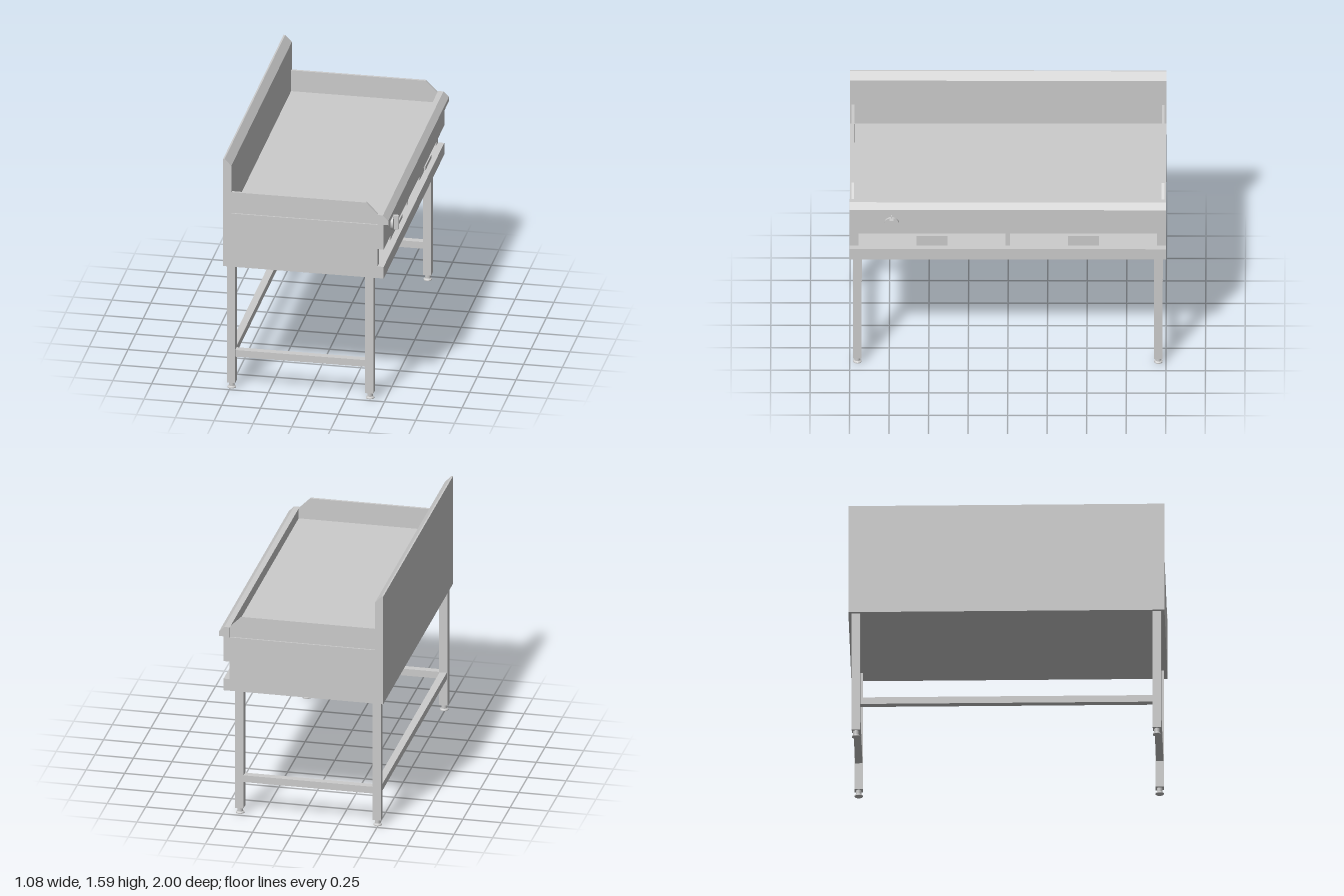
import * as THREE from 'three';

const steel = new THREE.MeshStandardMaterial({ color: 0xcccccc, flatShading: true });
const smooth = new THREE.MeshStandardMaterial({ color: 0xcccccc });

export function createModel() {
  const root = new THREE.Group();

  const add = (name, geometry, material = steel) => {
    const mesh = new THREE.Mesh(geometry, material);
    mesh.name = name;
    root.add(mesh);
    return mesh;
  };

  // Box given by its limits on each axis
  const box = (name, x0, x1, y0, y1, z0, z1) =>
    add(name, new THREE.BoxGeometry(x1 - x0, y1 - y0, z1 - z0))
      .position.set((x0 + x1) / 2, (y0 + y1) / 2, (z0 + z1) / 2);

  // Side profile (x, y) swept along z
  const sweep = (name, points, z0, z1) => {
    const shape = new THREE.Shape(points.map(([x, y]) => new THREE.Vector2(x, y)));
    const geometry = new THREE.ExtrudeGeometry(shape, { depth: z1 - z0, bevelEnabled: false });
    add(name, geometry.translate(0, 0, z0));
  };

  // Cabinet with splashback, rounded-off front nose and drawer recess
  const recessBack = -0.3;
  sweep('cabinet', [
    [-0.54, 0.85], [0.495, 0.85], [0.495, 0.93], [recessBack, 0.93],
    [recessBack, 1.05], [0.495, 1.05], [0.495, 1.22], [0.525, 1.22],
    [0.525, 1.25], [0.49, 1.285], [0.455, 1.285], [0.455, 1.217],
    [-0.487, 1.217], [-0.487, 1.545], [-0.53, 1.59], [-0.54, 1.59],
  ], -1, 1);

  // Recess ends and central divider
  box('recessDivider', recessBack, 0.455, 0.93, 1.05, -0.015, 0.015);
  for (const s of [-1, 1]) {
    const [z0, z1] = s > 0 ? [0.945, 1] : [-1, -0.945];
    box('recessEnd', recessBack, 0.455, 0.93, 1.05, z0, z1);
  }

  // Side splash guards
  for (const z of [-0.99, 0.973]) {
    sweep('sideGuard', [
      [-0.487, 1.217], [0.455, 1.217], [0.455, 1.285], [0.38, 1.36], [-0.487, 1.36],
    ], z, z + 0.017);
  }

  // Drawer pulls: upright plate with a folded lip
  for (const z of [-0.48, 0.48]) {
    sweep('drawerPull', [
      [0.445, 0.93], [0.455, 0.93], [0.455, 1.02], [0.485, 1.02],
      [0.485, 1.006], [0.495, 1.006], [0.495, 1.031], [0.445, 1.031],
    ], z - 0.098, z + 0.098);
  }

  // Control knob: disc, grip bar and pointer
  const knobY = 1.128, knobZ = 0.735;
  const disc = add('knobDisc', new THREE.CylinderGeometry(0.048, 0.048, 0.016, 32), smooth);
  disc.rotation.z = -Math.PI / 2;
  disc.position.set(0.503, knobY, knobZ);
  box('knobGrip', 0.508, 0.54, knobY - 0.047, knobY + 0.047, knobZ - 0.012, knobZ + 0.012);
  box('knobPointer', 0.495, 0.51, knobY + 0.045, knobY + 0.063, knobZ - 0.003, knobZ + 0.003);

  // Legs with adjustable feet
  const footProfile = [
    [0, 0], [0.027, 0], [0.027, 0.006], [0.018, 0.013], [0.018, 0.042], [0, 0.042],
  ].map(([r, y]) => new THREE.Vector2(r, y));
  for (const x of [-0.493, 0.398]) {
    for (const z of [-0.952, 0.952]) {
      box('leg', x - 0.027, x + 0.027, 0.04, 0.85, z - 0.027, z + 0.027);
      add('foot', new THREE.LatheGeometry(footProfile, 16)).position.set(x, 0, z);
    }
  }

  // Lower rails along both ends and the back
  for (const z of [-0.952, 0.952]) {
    box('endRail', -0.466, 0.371, 0.22, 0.266, z - 0.023, z + 0.023);
  }
  box('backRail', -0.516, -0.47, 0.22, 0.266, -0.925, 0.925);

  return root;
}
